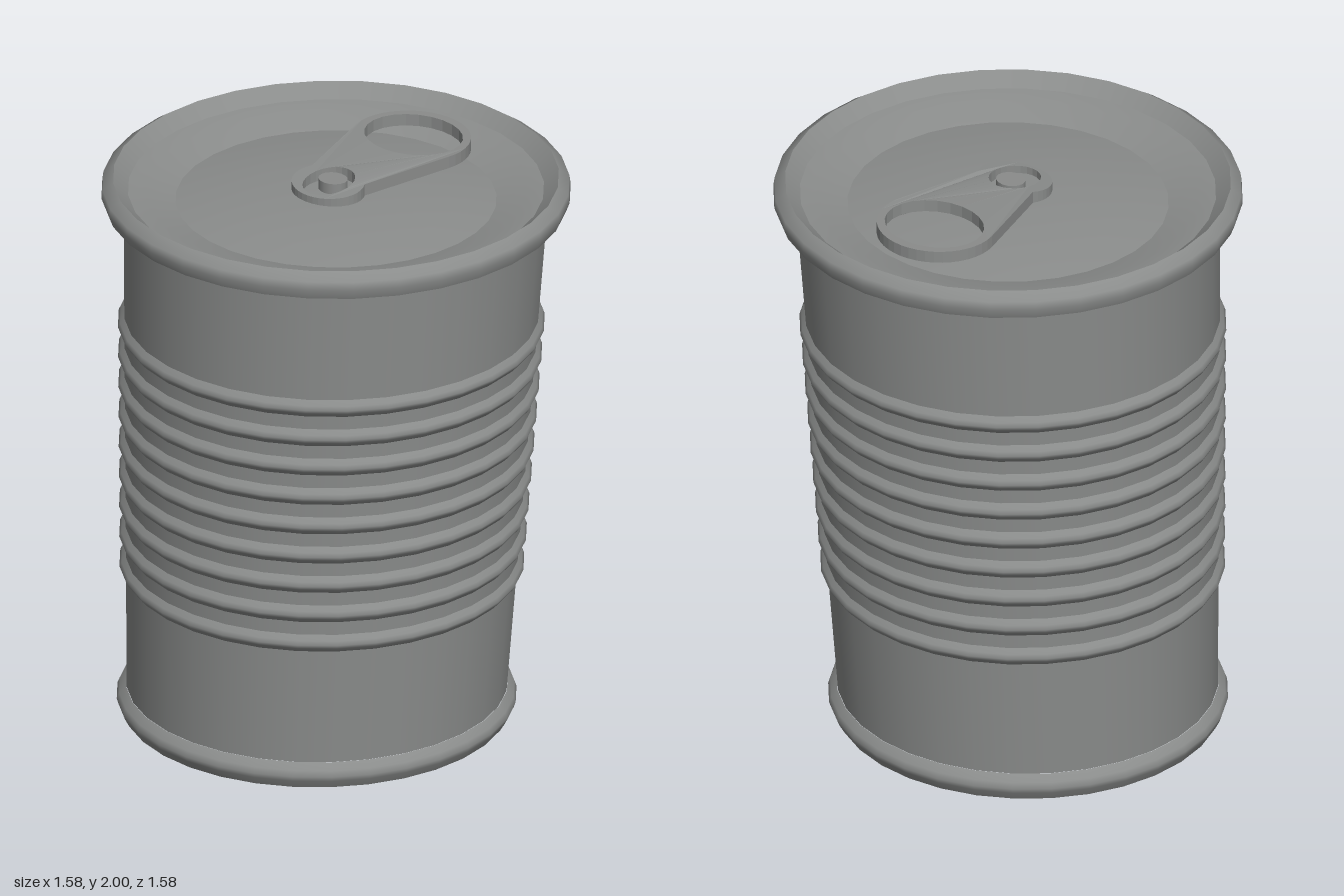
import * as THREE from 'three';

const SEGMENTS = 32;
const LEAN = 0.088; // sideways offset of the base
const metal = new THREE.MeshStandardMaterial({ color: 0x8a8c8b });
metal.name = 'grey metal';

// Radius of the tapering wall at a height
const wallRadius = (y) => 0.637 + 0.078 * (y / 1.9);

// Lean the can: the base slides towards -x, the lid stays centred
function lean(geometry) {
  const p = geometry.attributes.position;
  for (let i = 0; i < p.count; i++) {
    const y = p.getY(i);
    p.setX(i, p.getX(i) - LEAN * Math.max(0, 1 - y / 1.9));
  }
  return geometry;
}

function addLathe(group, name, points) {
  const profile = points.map(([r, y]) => new THREE.Vector2(r, y));
  const mesh = new THREE.Mesh(lean(new THREE.LatheGeometry(profile, SEGMENTS)), metal);
  mesh.name = name;
  group.add(mesh);
}

function createTab() {
  // Teardrop plate with a finger hole and a rivet hole
  const shape = new THREE.Shape();
  shape.absellipse(0, 0.385, 0.207, 0.197, -0.2, Math.PI + 0.2, false);
  shape.absellipse(0, -0.04, 0.132, 0.11, Math.PI - 0.5, Math.PI * 2 + 0.5, false);
  const fingerHole = new THREE.Path();
  fingerHole.absellipse(0, 0.4, 0.177, 0.15, 0, Math.PI * 2, true);
  const rivetHole = new THREE.Path();
  rivetHole.absellipse(0, -0.037, 0.082, 0.097, 0, Math.PI * 2, true);
  shape.holes.push(fingerHole, rivetHole);

  const geometry = new THREE.ExtrudeGeometry(shape, {
    depth: 0.042, bevelEnabled: false, curveSegments: 12,
  });
  geometry.rotateX(-Math.PI / 2);
  geometry.translate(0, 1.958, 0);
  // The riveted end dips down to the lid
  const p = geometry.attributes.position;
  for (let i = 0; i < p.count; i++) {
    p.setY(i, p.getY(i) - Math.max(0, p.getZ(i) + 0.1) * 0.11);
  }
  geometry.computeVertexNormals();
  const tab = new THREE.Mesh(geometry, metal);
  tab.name = 'pullTab';
  return tab;
}

export function createModel() {
  const can = new THREE.Group();
  can.name = 'can';

  // Recessed base and its rim
  addLathe(can, 'basePanel', [[0, 0.1], [0.596, 0.1]]);
  addLathe(can, 'baseInnerWall', [[0.596, 0.1], [0.638, 0]]);
  addLathe(can, 'baseRimEdge', [[0.638, 0], [0.65, 0]]);
  addLathe(can, 'baseRim', [[0.65, 0], [0.667, 0.03], [0.673, 0.048], [0.665, 0.068], [0.642, 0.09]]);

  // Wall: plain bands alternating with nine raised ridges
  const half = 0.032;
  let y = 0.09;
  for (let i = 0; i < 9; i++) {
    const c = 0.547 + i * 0.1127;
    const lower = c - half, upper = c + half;
    addLathe(can, 'wallBand', [[wallRadius(y), y], [wallRadius(lower), lower]]);
    addLathe(can, 'ridge', [
      [wallRadius(lower), lower],
      [wallRadius(c) + 0.015, c - 0.014],
      [wallRadius(c) + 0.022, c],
      [wallRadius(c) + 0.015, c + 0.014],
      [wallRadius(upper), upper],
    ]);
    y = upper;
  }
  addLathe(can, 'upperWall', [[wallRadius(y), y], [wallRadius(1.9), 1.9]]);

  // Lid rim and stepped recess
  addLathe(can, 'lidRimUnderside', [[0.715, 1.9], [0.777, 1.9]]);
  addLathe(can, 'lidRim', [[0.777, 1.9], [0.79, 1.935], [0.786, 1.965], [0.75, 1.99]]);
  addLathe(can, 'lidInnerWall', [[0.75, 1.99], [0.7, 1.945]]);
  addLathe(can, 'lidStep', [[0.7, 1.945], [0.64, 1.935], [0.54, 1.905]]);
  addLathe(can, 'lidDome', [[0.54, 1.905], [0.42, 1.925], [0.28, 1.94], [0.14, 1.948], [0, 1.95]]);

  // Opener
  can.add(createTab());
  const rivet = new THREE.Mesh(new THREE.CylinderGeometry(0.052, 0.052, 0.05, 16), metal);
  rivet.name = 'rivet';
  rivet.scale.z = 0.88;
  rivet.position.set(0, 1.962, 0.015);
  can.add(rivet);

  return can;
}
